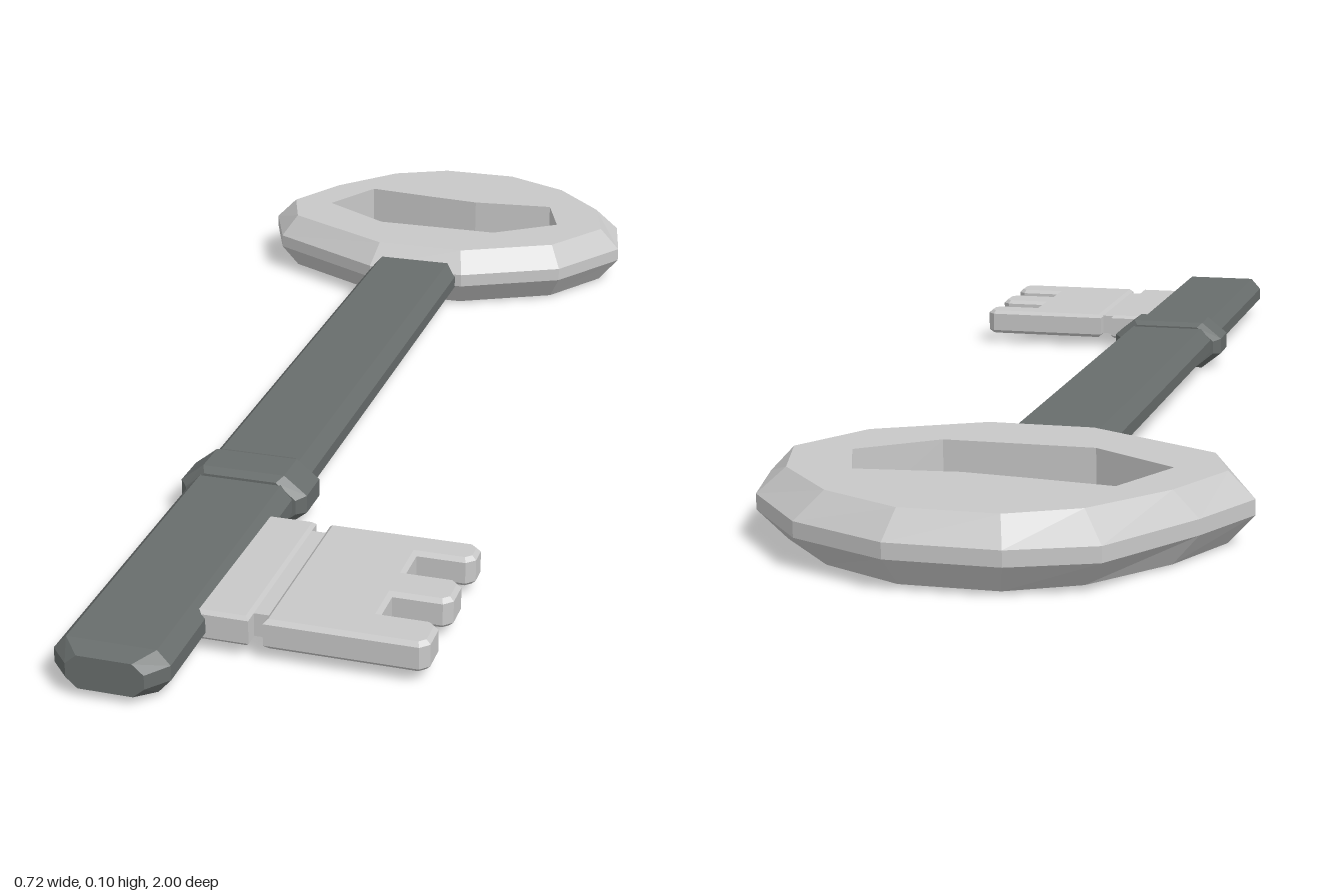
import * as THREE from 'three';
import { mergeGeometries } from 'three/addons/utils/BufferGeometryUtils.js';

const V = (x, y, z) => new THREE.Vector3(x, y, z);

// Flat-faced skin through rings of equal point count, with optional end caps
function loft(rings, caps = true) {
  const pts = [];
  const n = rings[0].length;
  for (let i = 0; i < rings.length - 1; i++) {
    for (let j = 0; j < n; j++) {
      const k = (j + 1) % n;
      const [a, b, c, d] = [rings[i][j], rings[i][k], rings[i + 1][k], rings[i + 1][j]];
      pts.push(a, b, c, a, c, d);
    }
  }
  if (caps) {
    const first = rings[0], last = rings[rings.length - 1];
    for (let j = 1; j < n - 1; j++) {
      pts.push(first[0], first[j + 1], first[j], last[0], last[j], last[j + 1]);
    }
  }
  const g = new THREE.BufferGeometry().setFromPoints(pts);
  g.computeVertexNormals();
  return g;
}

// Chamfered rectangle across the shaft at a given z
function octagon(z, x0, x1, y0, y1, cx, cy) {
  return [
    [x1, y0 + cy], [x1, y1 - cy], [x1 - cx, y1], [x0 + cx, y1],
    [x0, y1 - cy], [x0, y0 + cy], [x0 + cx, y0], [x1 - cx, y0],
  ].map(([x, y]) => V(x, y, z));
}

// Bow contours as [x, z], counter-clockwise from above
const RIM = [
  [0.07, -0.475], [0.235, -0.56], [0.32, -0.70], [0.295, -0.82], [0.2, -0.935], [0.06, -1],
  [-0.095, -1], [-0.21, -0.955], [-0.305, -0.81], [-0.36, -0.70], [-0.315, -0.59], [-0.105, -0.475],
];
const FACE = [
  [0.06, -0.505], [0.215, -0.585], [0.285, -0.70], [0.255, -0.81], [0.165, -0.91], [0.05, -0.968],
  [-0.085, -0.968], [-0.18, -0.92], [-0.27, -0.81], [-0.323, -0.70], [-0.29, -0.61], [-0.095, -0.505],
];
const HOLE = [
  [0.095, -0.62], [0.2, -0.70], [0.165, -0.80], [0.02, -0.785],
  [-0.075, -0.795], [-0.195, -0.81], [-0.25, -0.70], [-0.125, -0.62],
];

function bowGeometry() {
  const level = (contour, y) => contour.map(([x, z]) => V(x, y, z));
  const TOP = 0.103, BOTTOM = 0.003;
  const outside = loft([level(FACE, BOTTOM), level(RIM, 0.044), level(RIM, 0.066), level(FACE, TOP)], false);
  const reversed = [...HOLE].reverse();
  const inside = loft([level(reversed, BOTTOM), level(reversed, TOP)], false);
  const flat = (side, y) => {
    const to2 = (c) => c.map(([x, z]) => new THREE.Vector2(x, -side * z));
    const shape = new THREE.Shape(to2(FACE));
    shape.holes.push(new THREE.Path(to2(HOLE)));
    const g = new THREE.ShapeGeometry(shape).rotateX(-side * Math.PI / 2).translate(0, y, 0).toNonIndexed();
    g.deleteAttribute('uv');
    return g;
  };
  return mergeGeometries([outside, inside, flat(1, TOP), flat(-1, BOTTOM)]);
}

// Bevelled horizontal plate from an [x, z] outline
function plate(outline, y0, y1, bevel) {
  const shape = new THREE.Shape(outline.map(([x, z]) => new THREE.Vector2(x, -z)));
  return new THREE.ExtrudeGeometry(shape, {
    depth: y1 - y0 - 2 * bevel, bevelEnabled: true, bevelSegments: 1,
    bevelThickness: bevel, bevelSize: bevel, bevelOffset: -bevel,
  }).rotateX(-Math.PI / 2).translate(0, y0 + bevel, 0);
}

export function createModel() {
  const key = new THREE.Group();
  key.name = 'key';
  const lightMetal = new THREE.MeshStandardMaterial({ name: 'light metal', color: 0xc8c8c8 });
  const darkMetal = new THREE.MeshStandardMaterial({ name: 'dark metal', color: 0x686d6c });
  const add = (name, geometry, material) => {
    const mesh = new THREE.Mesh(geometry, material);
    mesh.name = name;
    key.add(mesh);
  };

  // Ring-shaped handle
  add('bow', bowGeometry(), lightMetal);

  // Long shaft, rising slightly toward the bow, with a chamfered tip
  add('shaft', loft([
    octagon(-0.5, -0.103, 0.058, 0.022, 0.082, 0.018, 0.02),
    octagon(0.97, -0.103, 0.058, 0.008, 0.069, 0.018, 0.02),
    octagon(1, -0.075, 0.033, 0.013, 0.061, 0.016, 0.014),
  ]), darkMetal);

  // Collar around the shaft
  add('collar', loft([
    octagon(0.39, -0.108, 0.063, 0.005, 0.077, 0.03, 0.025),
    octagon(0.405, -0.12, 0.076, 0, 0.083, 0.035, 0.028),
    octagon(0.465, -0.12, 0.076, 0, 0.083, 0.035, 0.028),
    octagon(0.48, -0.108, 0.063, 0.005, 0.077, 0.03, 0.025),
  ]), darkMetal);

  // Bit: neck, groove and toothed plate
  add('bitNeck', plate([[0.03, 0.845], [0.118, 0.845], [0.118, 0.55], [0.03, 0.55]], 0.017, 0.061, 0.005), lightMetal);
  add('bitGroove', new THREE.BoxGeometry(0.05, 0.034, 0.25).translate(0.13, 0.039, 0.697), lightMetal);
  add('bitTeeth', plate([
    [0.138, 0.845], [0.35, 0.845], [0.362, 0.833], [0.362, 0.792], [0.35, 0.78], [0.28, 0.78],
    [0.28, 0.725], [0.35, 0.725], [0.362, 0.713], [0.362, 0.672], [0.35, 0.66], [0.28, 0.66],
    [0.28, 0.602], [0.35, 0.602], [0.362, 0.59], [0.362, 0.562], [0.35, 0.55], [0.138, 0.55],
  ], 0.017, 0.061, 0.006), lightMetal);

  return key;
}
